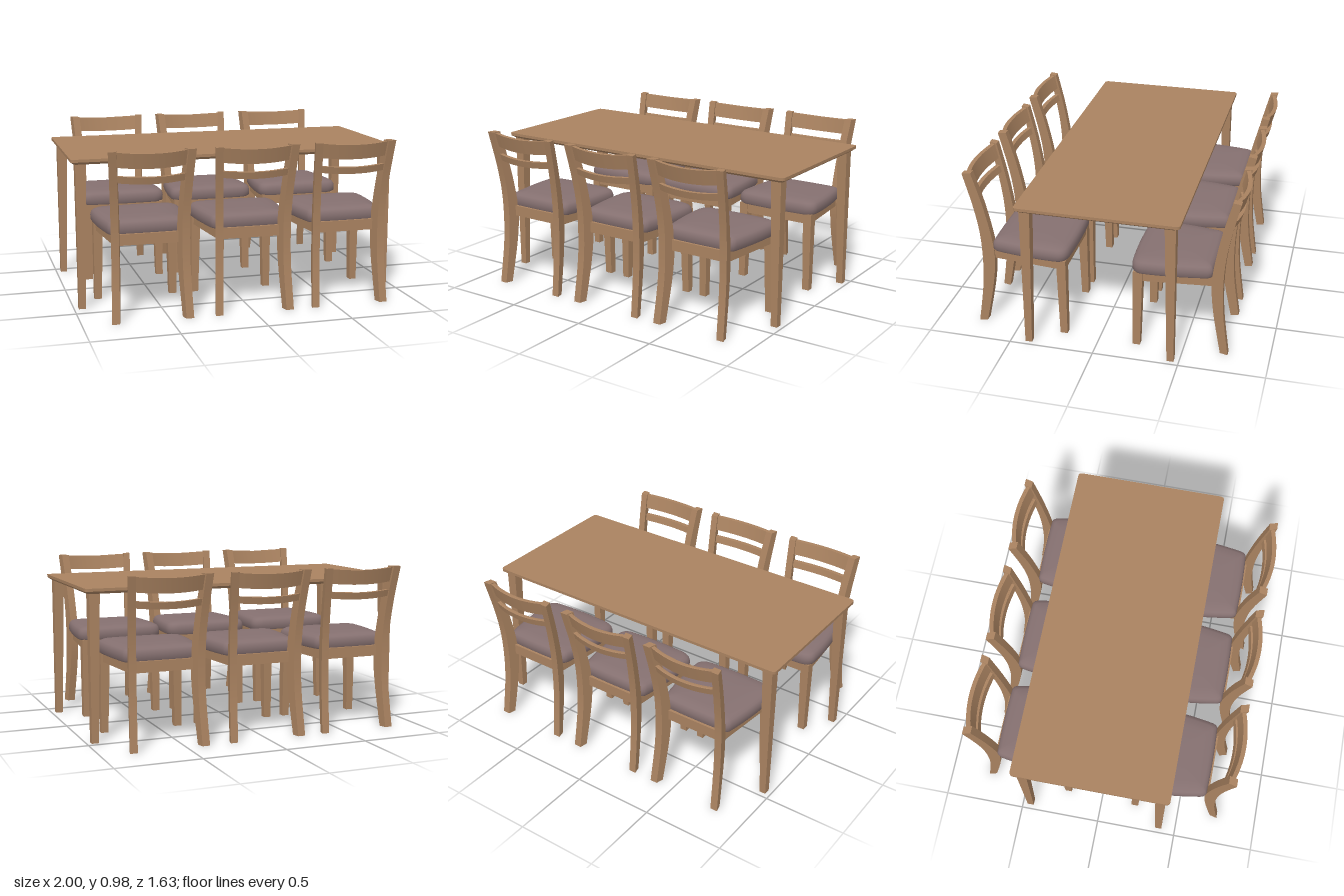
import * as THREE from 'three';
import { toCreasedNormals } from 'three/addons/utils/BufferGeometryUtils.js';

const wood = new THREE.MeshStandardMaterial({ color: 0xa98260 });
wood.name = 'wood';
const fabric = new THREE.MeshStandardMaterial({ color: 0x857070 });
fabric.name = 'seatFabric';

function part(name, geometry, material = wood) {
  const mesh = new THREE.Mesh(geometry, material);
  mesh.name = name;
  return mesh;
}

// Move every vertex of a geometry by a rule
function warp(geometry, rule) {
  const p = geometry.attributes.position;
  const v = new THREE.Vector3();
  for (let i = 0; i < p.count; i++) {
    v.fromBufferAttribute(p, i);
    rule(v);
    p.setXYZ(i, v.x, v.y, v.z);
  }
  geometry.computeVertexNormals();
  return geometry;
}

// Stack a counterclockwise outline into rings of [height, scaleX, scaleZ], bottom to top
function loft(shape, rings, crease) {
  const pts = shape.getPoints(8);
  if (pts[0].distanceTo(pts[pts.length - 1]) < 1e-5) pts.pop();
  const n = pts.length, pos = [], index = [];
  rings.forEach(([y, sx, sz], r) => {
    pts.forEach((p, i) => {
      pos.push(p.x * sx, y, -p.y * sz);
      if (r === rings.length - 1) return;
      const a = r * n + i, b = r * n + (i + 1) % n;
      if (sx > 0) index.push(a, b, b + n);
      if (rings[r + 1][1] > 0) index.push(a, b + n, a + n);
      else if (sx > 0) index.splice(index.length - 3, 3, a, b, a + n);
    });
  });
  const g = new THREE.BufferGeometry();
  g.setAttribute('position', new THREE.Float32BufferAttribute(pos, 3));
  g.setIndex(index);
  return toCreasedNormals(g, crease);
}

// Square leg whose inner faces taper towards the floor; sx, sz point outward
function taperedLeg(outerX, outerZ, sx, sz, top, height, foot) {
  const g = new THREE.BoxGeometry(1, 1, 1).toNonIndexed();
  return warp(g, (v) => {
    const w = v.y > 0 ? top : foot;
    v.set(outerX + sx * w * (v.x * sx - 0.5), v.y > 0 ? height : 0, outerZ + sz * w * (v.z * sz - 0.5));
  });
}

function tableTopGeometry() {
  const w = 1, d = 0.468, r = 0.025;
  const s = new THREE.Shape();
  s.moveTo(-w + r, -d);
  s.lineTo(w - r, -d);
  s.quadraticCurveTo(w, -d, w, -d + r);
  s.lineTo(w, d - r);
  s.quadraticCurveTo(w, d, w - r, d);
  s.lineTo(-w + r, d);
  s.quadraticCurveTo(-w, d, -w, d - r);
  s.lineTo(-w, -d + r);
  s.quadraticCurveTo(-w, -d, -w + r, -d);
  return loft(s, [[0.857, 0, 0], [0.857, 0.98, 0.957], [0.872, 1, 1], [0.889, 1, 1], [0.889, 0, 0]], 0.5);
}

// Padded seat: wider at the front, rounded over the top edge
function cushionGeometry() {
  const s = new THREE.Shape();
  s.moveTo(-0.2, -0.235);
  s.quadraticCurveTo(0, -0.245, 0.2, -0.235);
  s.quadraticCurveTo(0.225, -0.235, 0.232, -0.2);
  s.quadraticCurveTo(0.268, 0, 0.268, 0.16);
  s.quadraticCurveTo(0.268, 0.22, 0.2, 0.228);
  s.quadraticCurveTo(0, 0.242, -0.2, 0.228);
  s.quadraticCurveTo(-0.268, 0.22, -0.268, 0.16);
  s.quadraticCurveTo(-0.268, 0, -0.232, -0.2);
  s.quadraticCurveTo(-0.225, -0.235, -0.2, -0.235);
  const rings = [[0.488, 0, 0], [0.488, 0.97, 0.97], [0.498, 0.995, 0.995], [0.525, 1, 1], [0.543, 0.985, 0.985],
    [0.556, 0.95, 0.95], [0.565, 0.88, 0.88], [0.571, 0.7, 0.7], [0.574, 0.4, 0.4], [0.575, 0, 0]];
  return loft(s, rings, 0.9).translate(0, 0, 0.415);
}

// Curved rear leg that continues up as the backrest post, splayed outward
function postGeometry(side) {
  const v = (z, y) => new THREE.Vector2(z, y);
  const s = new THREE.Shape();
  s.moveTo(0.756, 0);
  s.splineThru([v(0.722, 0.245), v(0.713, 0.42), v(0.72, 0.595), v(0.747, 0.77), v(0.795, 0.98)]);
  s.lineTo(0.748, 0.98);
  s.splineThru([v(0.694, 0.77), v(0.655, 0.56), v(0.645, 0.42), v(0.663, 0.245), v(0.71, 0)]);
  const g = new THREE.ExtrudeGeometry(s, { depth: 0.045, bevelEnabled: false, curveSegments: 20 });
  g.rotateY(-Math.PI / 2).translate(side > 0 ? 0.22 : -0.175, 0, 0);
  return toCreasedNormals(warp(g, (p) => { p.x += side * 0.25 * (p.z - 0.69); }), 0.5);
}

// Bowed, tilted backrest rail; z is its rear face at the middle
function railGeometry(y0, y1, z) {
  const w = 0.212, bow = 0.036, t = 0.025;
  const s = new THREE.Shape();
  s.moveTo(-w, -(z - bow));
  s.quadraticCurveTo(0, -(z + bow), w, -(z - bow));
  s.lineTo(w, -(z - bow - t));
  s.quadraticCurveTo(0, -(z + bow - t), -w, -(z - bow - t));
  const g = new THREE.ExtrudeGeometry(s, { depth: y1 - y0, bevelEnabled: false, curveSegments: 16 });
  g.rotateX(-Math.PI / 2).translate(0, y0, 0);
  warp(g, (p) => {
    p.z += 0.27 * (p.y - (y0 + y1) / 2);
    p.y -= 0.011 * (1 - (p.x / w) ** 2);
  });
  return toCreasedNormals(g, 0.5);
}

// Seat base narrowing towards the back
function seatBaseGeometry() {
  const g = new THREE.BoxGeometry(2, 0.064, 0.46).toNonIndexed();
  g.translate(0, 0.46, 0.435);
  return warp(g, (p) => { p.x *= p.z < 0.4 ? 0.243 : 0.198; });
}

// Chair with its back towards +z
function createChair() {
  const chair = new THREE.Group();
  chair.name = 'chair';
  chair.add(part('seatCushion', cushionGeometry(), fabric));
  chair.add(part('seatBase', seatBaseGeometry()));
  chair.add(part('topRail', railGeometry(0.89, 0.976, 0.802)));
  chair.add(part('lowerRail', railGeometry(0.802, 0.842, 0.78)));
  for (const side of [-1, 1]) {
    chair.add(part('backPost', postGeometry(side)));
    chair.add(part('frontLeg', taperedLeg(side * 0.252, 0.2, side, -1, 0.056, 0.489, 0.043)));
  }
  return chair;
}

export function createModel() {
  const model = new THREE.Group();
  model.name = 'diningSet';

  // Table
  const table = new THREE.Group();
  table.name = 'table';
  table.position.z = -0.028;
  table.add(part('tableTop', tableTopGeometry()));
  for (const sx of [-1, 1]) {
    for (const sz of [-1, 1]) {
      table.add(part('tableLeg', taperedLeg(sx * 0.972, sz * 0.442, sx, sz, 0.062, 0.86, 0.04)));
    }
  }
  model.add(table);

  // Three chairs along each long side
  const chair = createChair();
  for (const x of [-0.6, 0, 0.587]) {
    for (const side of [1, -1]) {
      const c = chair.clone();
      c.name = side > 0 ? 'frontChair' : 'backChair';
      c.position.set(side * x, 0, -0.003);
      c.rotation.y = side > 0 ? 0 : Math.PI;
      model.add(c);
    }
  }
  return model;
}
